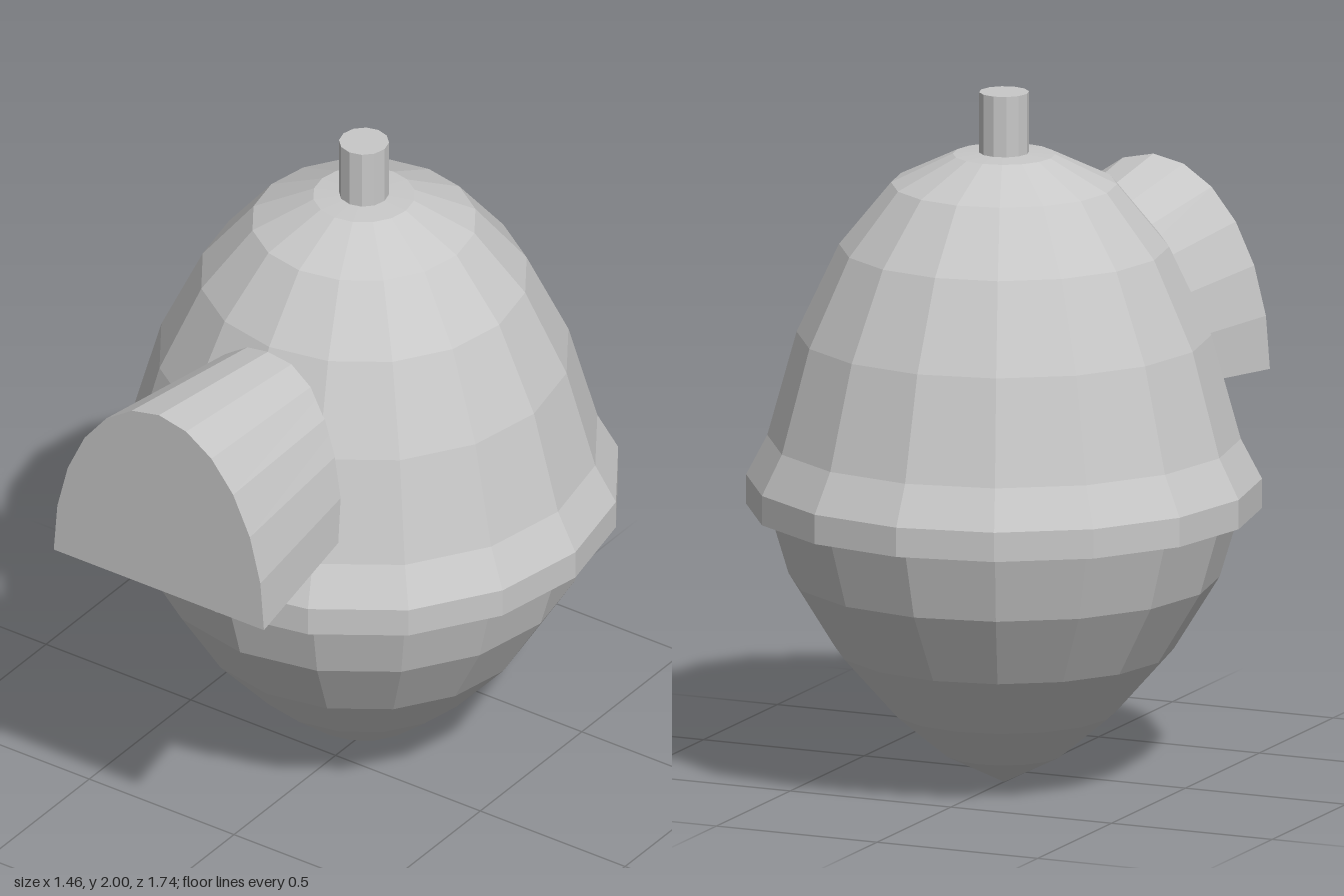
import * as THREE from 'three';

const AXIS_Z = -0.14;

export function createModel() {
  const model = new THREE.Group();
  const grey = new THREE.MeshStandardMaterial({ color: 0xc8c8c8, flatShading: true });
  grey.name = 'plain grey';

  const add = (name, geometry, y = 0, z = AXIS_Z) => {
    const mesh = new THREE.Mesh(geometry, grey);
    mesh.name = name;
    mesh.position.set(0, y, z);
    model.add(mesh);
  };
  // Sixteen-sided body of revolution, profile from bottom to top
  const turned = (profile) =>
    new THREE.LatheGeometry(profile.map(([r, y]) => new THREE.Vector2(r, y)), 16);

  // Pointed lower nut
  add('nut', turned([
    [0, 0], [0.17, 0.085], [0.32, 0.21], [0.48, 0.39], [0.61, 0.6], [0.67, 0.8],
  ]));

  // Domed cap with an overhanging rim
  add('cap', turned([
    [0, 0.8], [0.73, 0.8], [0.73, 0.885], [0.67, 1.0], [0.587, 1.3],
    [0.467, 1.555], [0.32, 1.735], [0.145, 1.82], [0, 1.83],
  ]));

  // Stem
  add('stem', new THREE.CylinderGeometry(0.071, 0.071, 0.22, 12), 1.89);

  // Arched spout: unit half-disc prism, narrowed towards the body
  const arch = [];
  for (let i = 0; i <= 12; i++) {
    const a = (i / 12) * Math.PI;
    arch.push(new THREE.Vector2(Math.cos(a), Math.sin(a)));
  }
  const spout = new THREE.ExtrudeGeometry(new THREE.Shape(arch), { depth: 1, bevelEnabled: false });
  const p = spout.attributes.position;
  for (let i = 0; i < p.count; i++) {
    const t = p.getZ(i);
    const halfWidth = THREE.MathUtils.lerp(0.267, 0.363, t);
    const bottom = THREE.MathUtils.lerp(1.087, 1.025, t);
    const top = THREE.MathUtils.lerp(1.51, 1.615, t);
    p.setXYZ(i, p.getX(i) * halfWidth, bottom + p.getY(i) * (top - bottom), 0.1 + t * 0.77);
  }
  spout.computeVertexNormals();
  add('spout', spout, 0, 0);

  return model;
}
